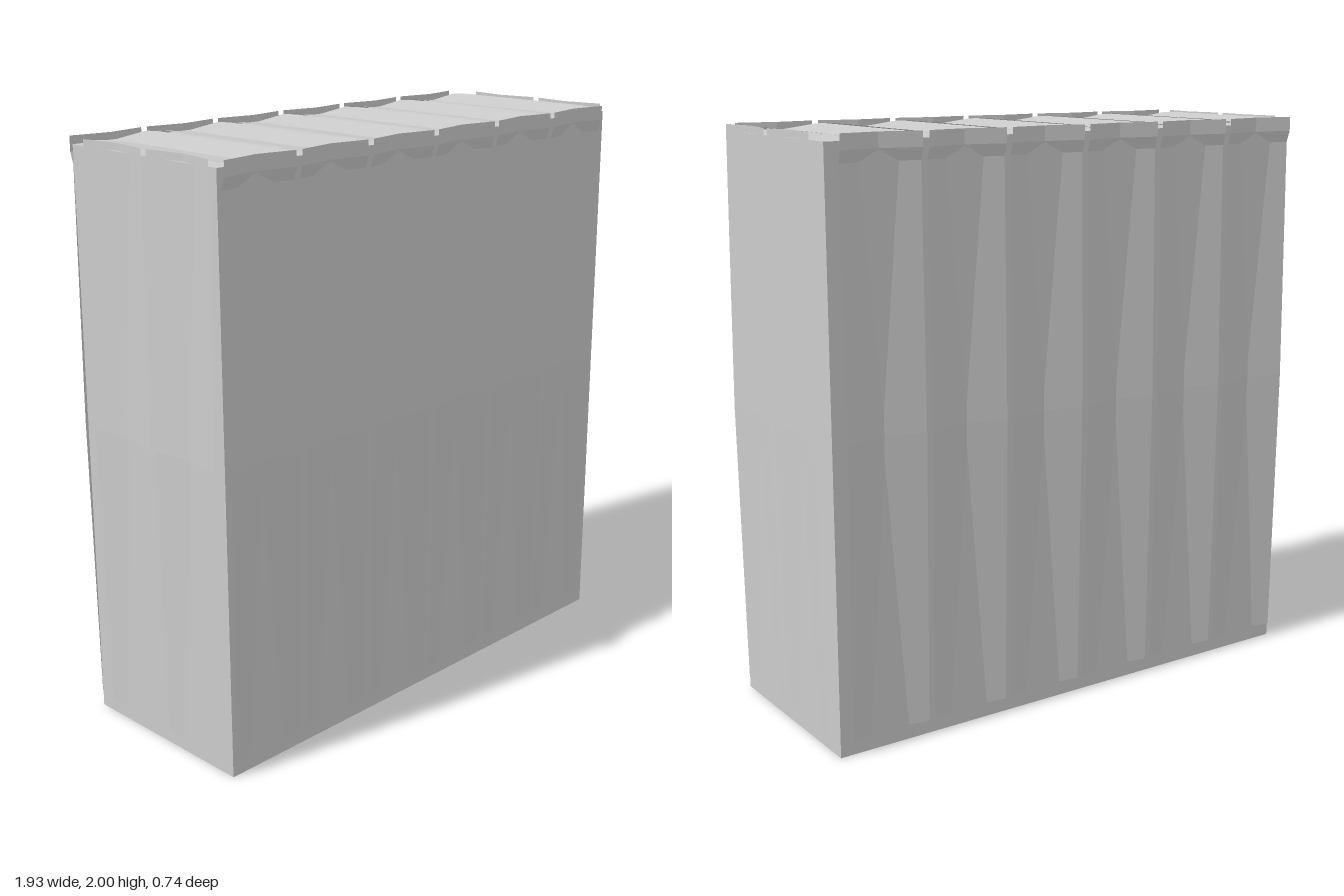
import * as THREE from 'three';

const material = new THREE.MeshStandardMaterial({ color: 0xcccccc, side: THREE.DoubleSide, flatShading: true });

// Folded sheet: a valley along y with raised edges; rows are [y, shift outwards]
function plankGeometry(rows, halfWidth, flare) {
  const positions = [], index = [];
  rows.forEach(([y, shift], r) => {
    for (const s of [-1, 0, 1]) positions.push(s * halfWidth, y, shift + Math.abs(s) * flare);
    if (r === 0) return;
    for (let c = 0; c < 2; c++) {
      const a = (r - 1) * 3 + c, b = a + 3;
      index.push(a, a + 1, b + 1, a, b + 1, b);
    }
  });
  const geometry = new THREE.BufferGeometry();
  geometry.setAttribute('position', new THREE.Float32BufferAttribute(positions, 3));
  geometry.setIndex(index);
  geometry.computeVertexNormals();
  return geometry;
}

export function createModel() {
  const group = new THREE.Group();
  const W = 0.94, D = 0.345, TOP = 1.976;

  function add(name, geometry, x = 0, y = 0, z = 0, rx = 0, ry = 0) {
    const mesh = new THREE.Mesh(geometry, material);
    mesh.name = name;
    mesh.position.set(x, y, z);
    mesh.rotation.set(rx, ry, 0);
    group.add(mesh);
  }

  // Hollow core: four walls and a top, open below
  for (const s of [-1, 1]) {
    add(s > 0 ? 'frontWall' : 'backWall', new THREE.PlaneGeometry(2 * W, TOP), 0, TOP / 2, s * D, 0, s > 0 ? 0 : Math.PI);
    add(s > 0 ? 'leftWall' : 'rightWall', new THREE.PlaneGeometry(2 * D, TOP), s * W, TOP / 2, 0, 0, s * Math.PI / 2);
  }
  add('roof', new THREE.PlaneGeometry(2 * W, 2 * D), 0, TOP, 0, -Math.PI / 2);

  // Valleys sink into the walls above and below mid height
  const longRows = [[0.05, -0.012], [1.05, 0.001], [1.91, -0.012], [1.95, 0.001], [2, 0.001]];
  const endRows = [[0.05, -0.012], [1.05, 0.001], [2, -0.012]];
  const roofRows = [[-D, -0.003], [-0.28, 0.001], [0.28, 0.001], [D, -0.003]];
  const longPlank = plankGeometry(longRows, 0.143, 0.024);
  const endPlank = plankGeometry(endRows, 0.143, 0.023);
  const roofPlank = plankGeometry(roofRows, 0.143, 0.018);

  // Six planks on the front, back and roof
  for (let i = 0; i < 6; i++) {
    const x = -0.79 + 0.309 * i;
    add('frontPlank', longPlank, x, 0, D);
    add('backPlank', longPlank, x, 0, -D, 0, Math.PI);
    add('roofPlank', roofPlank, x, TOP, 0, -Math.PI / 2);
  }

  // Two planks on each end
  for (const z of [-0.13, 0.18]) {
    add('leftPlank', endPlank, W, 0, z, 0, Math.PI / 2);
    add('rightPlank', endPlank, -W, 0, z, 0, -Math.PI / 2);
  }
  return group;
}
